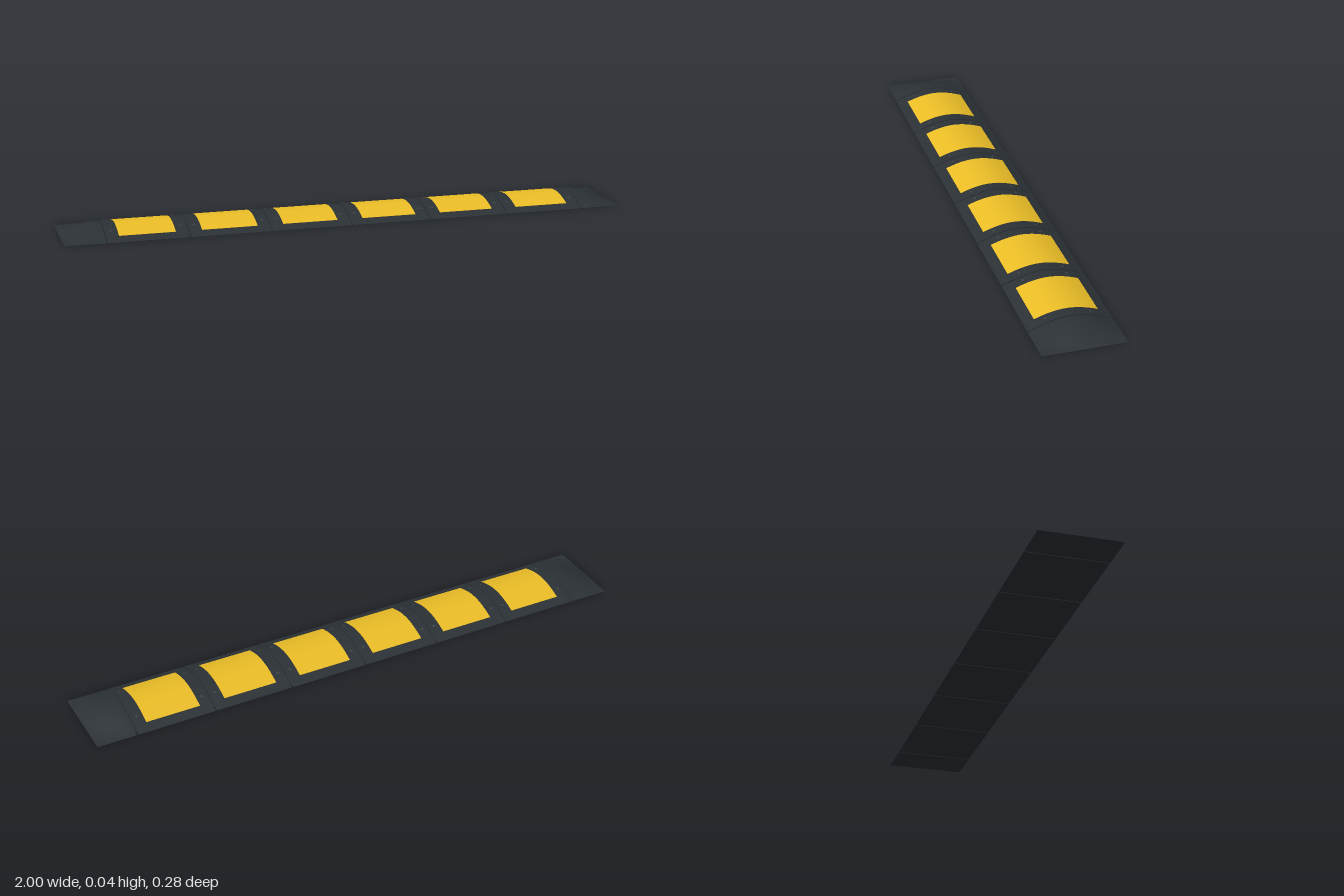
import * as THREE from 'three';

const HALF = 0.142, H = 0.0365, PITCH = 2 / 7, GAP = 0.004;
const rubber = new THREE.MeshStandardMaterial({ color: 0x2b3135 });
const yellow = new THREE.MeshStandardMaterial({ color: 0xecbe26 });
const steel = new THREE.MeshStandardMaterial({ color: 0x3a4044 });

// Height of the hump across its depth
const hump = (z) => H * Math.cos((Math.PI / 2) * Math.min(1, Math.abs(z) / HALF));

// A box whose top and bottom are moved onto the given height rules
function slab(name, width, depth, xSegs, top, bottom, material) {
  const geo = new THREE.BoxGeometry(width, 1, depth, xSegs, 1, 32);
  const p = geo.attributes.position;
  for (let i = 0; i < p.count; i++) {
    const rule = p.getY(i) > 0 ? top : bottom;
    p.setY(i, rule(p.getX(i), p.getZ(i)));
  }
  geo.computeVertexNormals();
  const mesh = new THREE.Mesh(geo, material);
  mesh.name = name;
  return mesh;
}

export function createModel() {
  const group = new THREE.Group();
  group.name = 'speedBump';
  const floor = () => 0;

  // Six humped modules, each with a yellow panel and four bolts
  for (let i = 0; i < 6; i++) {
    const section = new THREE.Group();
    section.name = 'section';
    section.position.x = (i - 2.5) * PITCH;
    section.add(slab('rubberBody', PITCH - GAP, 2 * HALF, 1,
      (x, z) => Math.max(hump(z), 0.001), floor, rubber));
    section.add(slab('yellowPanel', 0.195, 0.214, 1,
      (x, z) => hump(z) + 0.0007, (x, z) => hump(z) - 0.002, yellow));

    for (const sx of [-1, 1]) for (const sz of [-1, 1]) {
      const bolt = new THREE.Mesh(new THREE.CylinderGeometry(0.006, 0.006, 0.003, 12), steel);
      const z = sz * 0.075;
      bolt.name = 'bolt';
      bolt.position.set(sx * 0.119, hump(z), z);
      bolt.rotation.x = sz * 0.29;
      section.add(bolt);
    }
    group.add(section);
  }

  // Tapered end caps, curving down to the ground
  const capW = PITCH / 2 - GAP / 2;
  for (const side of [-1, 1]) {
    const cap = slab('endCap', capW, 2 * HALF, 14, (x, z) => {
      const t = THREE.MathUtils.clamp(0.5 + (side * x) / capW, 0, 1);
      return Math.max(hump(z) * Math.cos((t * Math.PI) / 2), 0.001);
    }, floor, rubber);
    cap.position.x = side * (1 - capW / 2);
    group.add(cap);
  }
  return group;
}
